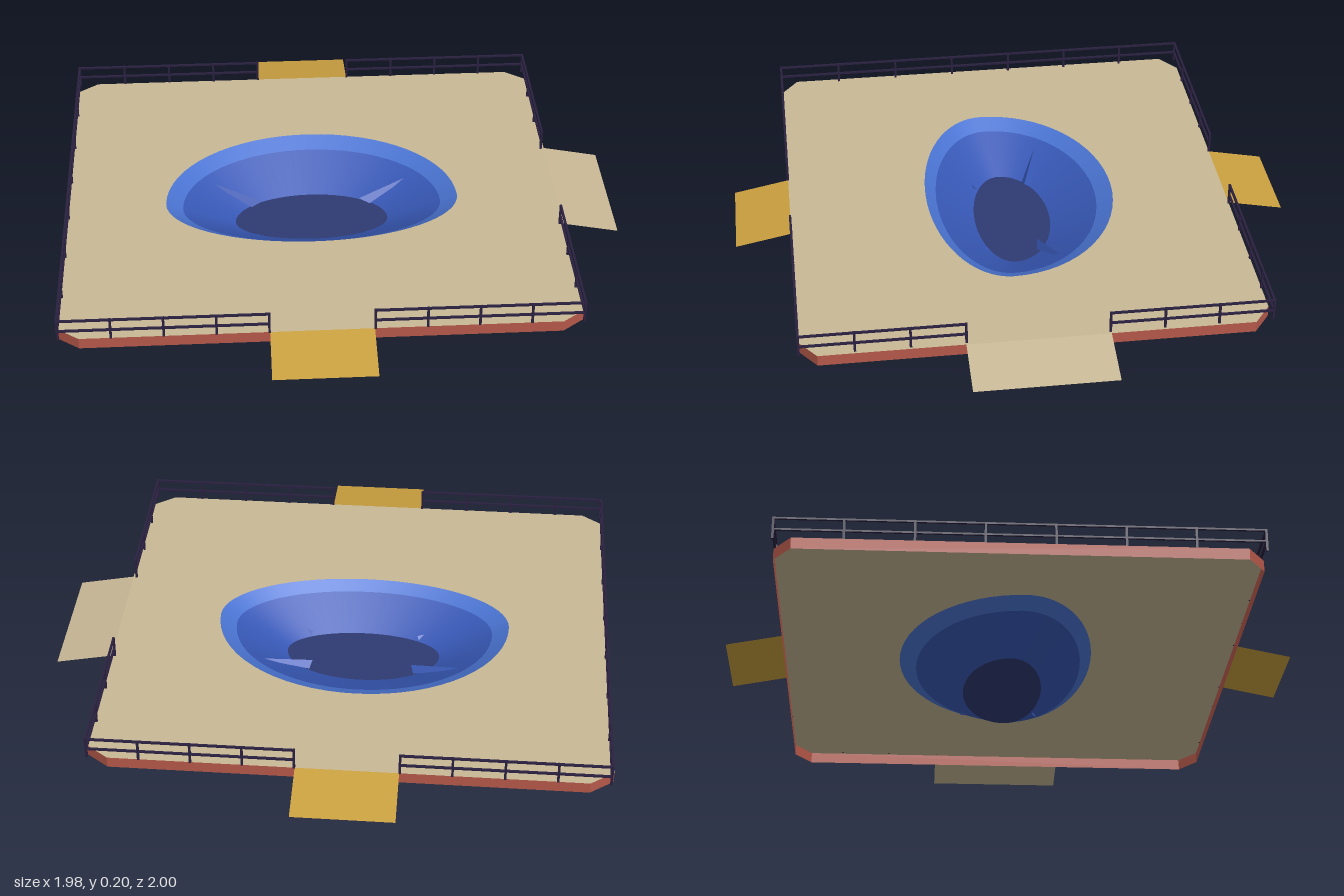
import * as THREE from 'three';
import { ConvexGeometry } from 'three/addons/geometries/ConvexGeometry.js';

const paint = (name, color) => {
  const m = new THREE.MeshStandardMaterial({ color, side: THREE.DoubleSide });
  m.name = name;
  return m;
};

const DECK_Y = 0.12, SKIRT_Y = 0.08, RAIL_Y = 0.2, MID_Y = 0.155;
const X0 = -0.99, X1 = 0.79, Z = 0.8, POOL_X = -0.1;

// Egg-shaped ring: half width a, deeper at the back than at the front
function eggRing(a, zc, back, front, y, n = 64) {
  return Array.from({ length: n }, (_, i) => {
    const t = (i / n) * Math.PI * 2, s = Math.sin(t);
    return new THREE.Vector3(POOL_X + a * Math.cos(t), y, zc + s * (s > 0 ? front : back));
  });
}

// Closed band between two rings, wound to face inwards
function band(upper, lower) {
  const n = upper.length, index = [];
  for (let i = 0; i < n; i++) {
    const j = (i + 1) % n;
    index.push(i, j, n + i, j, n + j, n + i);
  }
  const g = new THREE.BufferGeometry().setFromPoints([...upper, ...lower]);
  g.setIndex(index);
  g.computeVertexNormals();
  return g;
}

// Horizontal sheet bounded by a ring, with an optional hole
function sheet(ring, y, hole) {
  const flat = r => r.map(p => new THREE.Vector2(p.x, -p.z));
  const shape = new THREE.Shape(flat(ring));
  if (hole) shape.holes.push(new THREE.Path(flat(hole)));
  return new THREE.ShapeGeometry(shape).rotateX(-Math.PI / 2).translate(0, y, 0);
}

export function createModel() {
  const model = new THREE.Group();
  const tan = paint('tan deck', 0xc8b896);
  const gold = paint('gold ramp', 0xcaa03f);
  const red = paint('brick red', 0xb5584a);
  const dark = paint('dark railing', 0x2a2040);
  const rimBlue = paint('light pool blue', 0x4a74d2);
  const wallBlue = paint('pool blue', 0x3758b6);
  const floorBlue = paint('deep pool blue', 0x2e3a72);

  const add = (name, geometry, material, parent = model) => {
    const mesh = new THREE.Mesh(geometry, material);
    mesh.name = name;
    parent.add(mesh);
    return mesh;
  };

  // Pool rings from the deck down to the floor
  const rim = eggRing(0.53, 0.04, 0.43, 0.26, DECK_Y);
  const lip = eggRing(0.47, 0.03, 0.36, 0.23, 0.09);
  const base = eggRing(0.28, 0, 0.16, 0.12, 0);

  // Deck sheet with clipped corners, and the skirt hanging from its edge
  const cx = 0.08, cz = 0.06;
  const edge = y => [
    [X1, -Z + cz], [X1, Z - cz], [X1 - cx, Z], [X0 + cx, Z],
    [X0, Z - cz], [X0, -Z + cz], [X0 + cx, -Z], [X1 - cx, -Z],
  ].map(([x, z]) => new THREE.Vector3(x, y, z));
  add('deck', sheet(edge(DECK_Y), DECK_Y, rim), tan);
  const skirt = band(edge(SKIRT_Y), edge(DECK_Y)).toNonIndexed();
  skirt.computeVertexNormals();
  add('deckSkirt', skirt, red);

  // Pool bowl
  const pool = new THREE.Group();
  pool.name = 'pool';
  model.add(pool);
  add('poolRim', band(rim, lip), rimBlue, pool);
  add('poolWall', band(lip, base), wallBlue, pool);
  add('poolFloor', sheet(base, 0), floorBlue, pool);

  // Small ridges running down the wall, mirrored about the pool's middle
  for (const side of [-1, 1]) {
    const ridge = (name, pts) => add(name, new ConvexGeometry(
      pts.map(([x, y, z]) => new THREE.Vector3(POOL_X + side * x, y, z))), wallBlue, pool);
    ridge('backRidge', [[0.38, 0.075, -0.16], [0.19, 0.004, -0.115], [0.22, 0.004, -0.085], [0.18, 0.025, -0.09]]);
    ridge('frontRidge', [[0.28, 0.025, 0.125], [0.2, 0.004, 0.09], [0.21, 0.004, 0.105], [0.195, 0.014, 0.1]]);
  }

  // Sloping ramps, each turned to face outwards
  const run = 0.2, drop = DECK_Y - SKIRT_Y;
  const ramp = (name, width, x, z, turn, material) => {
    const g = new THREE.PlaneGeometry(width, Math.hypot(run, drop))
      .rotateX(-Math.PI / 2 + Math.atan2(drop, run))
      .translate(0, DECK_Y - drop / 2, run / 2)
      .rotateY(turn).translate(x, 0, z);
    add(name, g, material);
  };
  ramp('frontRamp', 0.35, POOL_X, Z, 0, gold);
  ramp('backRamp', 0.35, POOL_X, -Z, Math.PI, gold);
  ramp('sideRamp', 0.49, X1, 0, Math.PI / 2, tan);

  // Railing run with evenly spaced posts and two rails
  const T = 0.008;
  const railing = (name, xa, za, xb, zb, bays) => {
    const group = new THREE.Group();
    group.name = name;
    model.add(group);
    for (let i = 0; i <= bays; i++) {
      const t = i / bays;
      add('post', new THREE.BoxGeometry(T, RAIL_Y - DECK_Y, T), dark, group)
        .position.set(xa + (xb - xa) * t, (RAIL_Y + DECK_Y) / 2, za + (zb - za) * t);
    }
    for (const y of [RAIL_Y - T / 2, MID_Y]) {
      add('rail', new THREE.BoxGeometry(Math.abs(xb - xa) + T, T * 0.8, Math.abs(zb - za) + T), dark, group)
        .position.set((xa + xb) / 2, y, (za + zb) / 2);
    }
  };
  const L = -0.978, R = 0.778;
  for (const s of [1, -1]) {
    const end = s > 0 ? 'front' : 'back';
    railing(end + 'RailingA', L, s * Z, -0.277, s * Z, 4);
    railing(end + 'RailingB', 0.077, s * Z, R, s * Z, 4);
    railing(end + 'SideRailing', R, s * Z, R, s * 0.243, 3);
  }
  railing('longRailing', L, -Z, L, Z, 7);

  return model;
}
